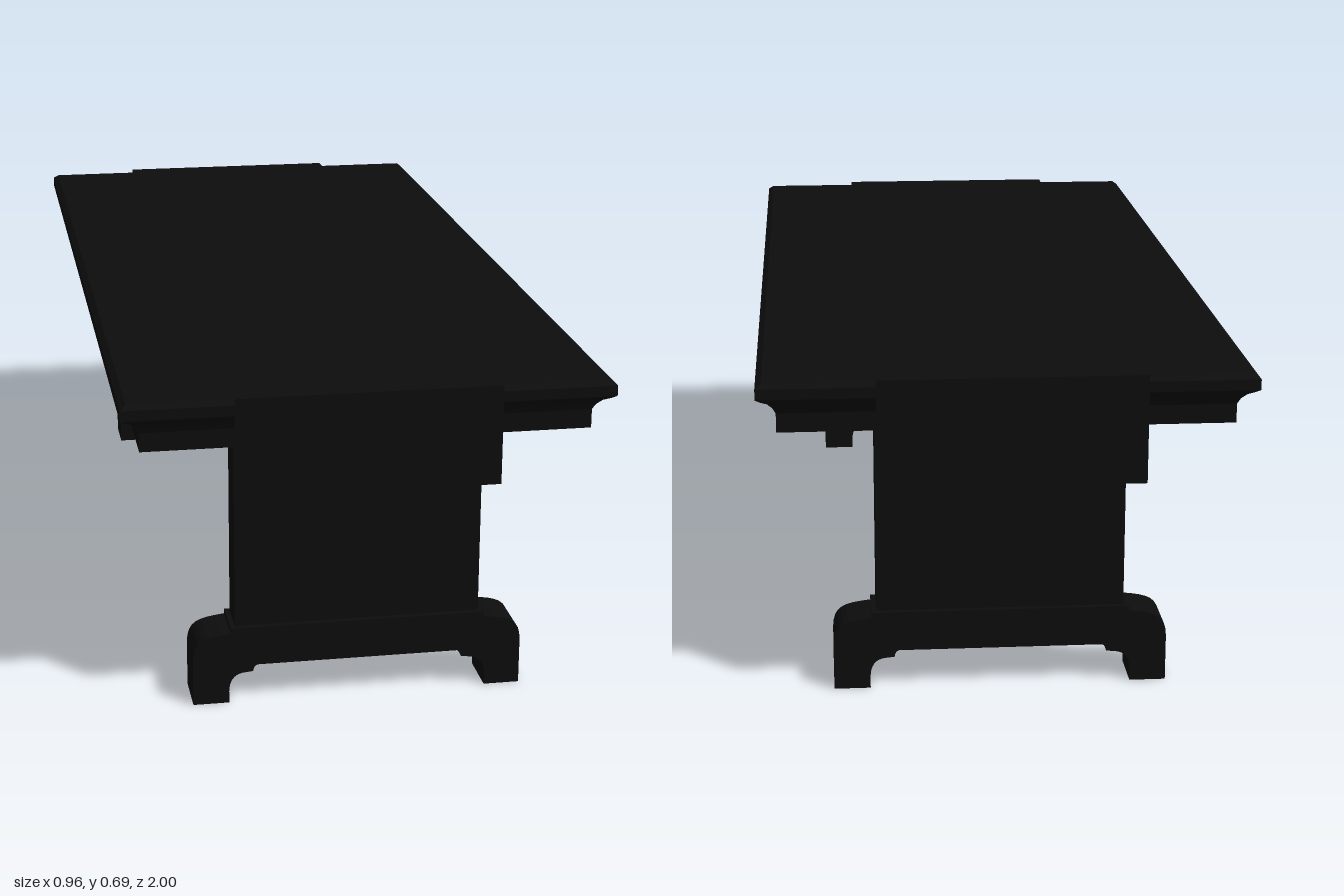
import * as THREE from 'three';

const material = new THREE.MeshStandardMaterial({ color: 0x0d0d0d });
const clothMaterial = new THREE.MeshStandardMaterial({ color: 0x0d0d0d, side: THREE.DoubleSide });

function addMesh(parent, name, geometry, mat = material) {
  const mesh = new THREE.Mesh(geometry, mat);
  mesh.name = name;
  parent.add(mesh);
  return mesh;
}

function addBox(parent, name, x0, x1, y0, y1, z0, z1) {
  const mesh = addMesh(parent, name, new THREE.BoxGeometry(x1 - x0, y1 - y0, z1 - z0));
  mesh.position.set((x0 + x1) / 2, (y0 + y1) / 2, (z0 + z1) / 2);
  return mesh;
}

// Rectangular slab whose edge follows a moulding profile of [inset, y], bottom to top
function mouldedSlab(halfX, halfZ, profile) {
  const corners = [[-1, -1], [-1, 1], [1, 1], [1, -1]];
  const point = ([inset, y], c) => [corners[c % 4][0] * (halfX - inset), y, corners[c % 4][1] * (halfZ - inset)];
  const positions = [];
  const quad = (a, b, c, d) => positions.push(...a, ...b, ...c, ...a, ...c, ...d);
  for (let i = 0; i < profile.length - 1; i++) {
    for (let c = 0; c < 4; c++) {
      quad(point(profile[i], c), point(profile[i], c + 1), point(profile[i + 1], c + 1), point(profile[i + 1], c));
    }
  }
  const bottom = profile[0], top = profile[profile.length - 1];
  quad(...[0, 1, 2, 3].map(c => point(top, c)));
  quad(...[3, 2, 1, 0].map(c => point(bottom, c)));
  const geometry = new THREE.BufferGeometry();
  geometry.setAttribute('position', new THREE.Float32BufferAttribute(positions, 3));
  geometry.computeVertexNormals();
  return geometry;
}

// Bracket foot outline, symmetrical about x = 0
function footGeometry(depth) {
  const half = new THREE.Path();
  half.moveTo(0.205, 0.08);
  half.quadraticCurveTo(0.213, 0.079, 0.215, 0.066);
  half.lineTo(0.235, 0.064);
  half.quadraticCurveTo(0.263, 0.06, 0.264, 0.025);
  half.lineTo(0.264, 0);
  half.lineTo(0.337, 0);
  half.lineTo(0.337, 0.095);
  half.bezierCurveTo(0.336, 0.14, 0.315, 0.146, 0.26, 0.152);
  half.lineTo(0.26, 0.162);
  const right = half.getPoints(8);
  const left = right.map(p => new THREE.Vector2(-p.x, p.y)).reverse();
  const geometry = new THREE.ExtrudeGeometry(new THREE.Shape([...right, ...left]), { depth, bevelEnabled: false });
  geometry.translate(0.002, 0, -depth / 2);
  return geometry;
}

export function createModel() {
  const table = new THREE.Group();
  table.name = 'table';

  // Top with chamfered lip and cove above the apron
  const profile = [[0.038, 0.58], [0.038, 0.618], [0.032, 0.63], [0.022, 0.641], [0.01, 0.648],
    [0, 0.655], [0, 0.676], [0.012, 0.685]];
  addMesh(table, 'tableTop', mouldedSlab(0.479, 0.996, profile)).position.z = -0.001;

  // Slab legs on bracket feet
  const foot = footGeometry(0.1);
  for (const [name, z] of [['front', 0.816], ['back', -0.796]]) {
    const leg = new THREE.Group();
    leg.name = name + 'Leg';
    leg.position.z = z;
    addBox(leg, name + 'LegPanel', -0.248, 0.252, 0.15, 0.582, -0.038, 0.038);
    addMesh(leg, name + 'Foot', foot);
    table.add(leg);
  }

  // Stretcher between the legs
  addBox(table, 'stretcher', -0.022, 0.026, 0.222, 0.352, -0.77, 0.79);

  // Thin cloth runner, hanging over both ends
  const path = [[0.49, 1], [0.69, 1], [0.69, -1], [0.475, -1]];
  const cloth = new THREE.Group();
  cloth.name = 'runner';
  const width = 0.518, centre = -0.006;
  const sheet = (name, length) => addMesh(cloth, name, new THREE.PlaneGeometry(width, length), clothMaterial);
  const top = sheet('runnerTop', 2);
  top.rotation.x = -Math.PI / 2;
  top.position.set(centre, path[1][0], 0);
  for (const [name, end, edge] of [['runnerFrontDrop', path[0], path[1]], ['runnerBackDrop', path[3], path[2]]]) {
    const drop = sheet(name, edge[0] - end[0]);
    drop.position.set(centre, (edge[0] + end[0]) / 2, end[1]);
    if (end[1] < 0) drop.rotation.y = Math.PI;
  }
  table.add(cloth);

  return table;
}
